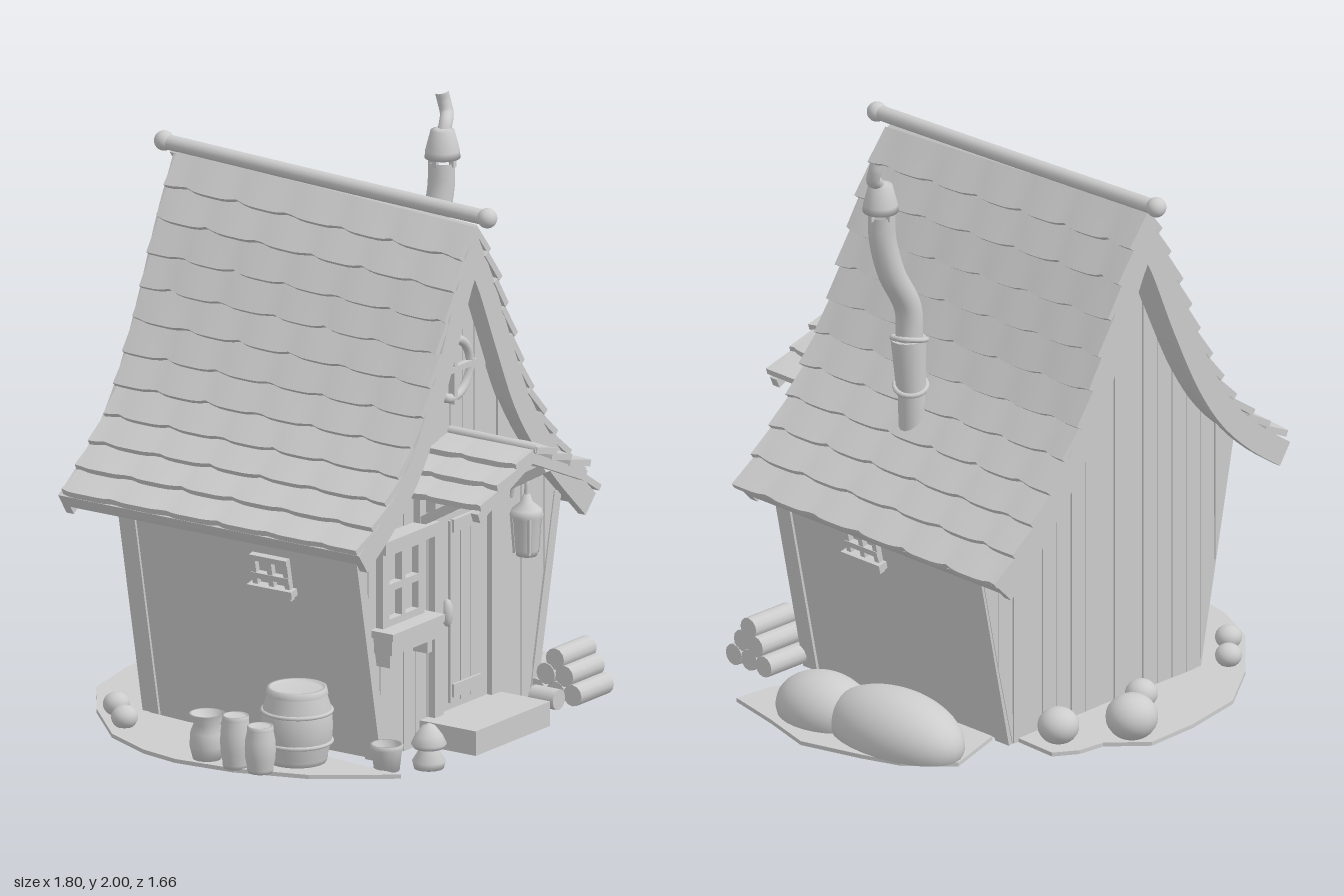
import * as THREE from 'three';

const clay = new THREE.MeshStandardMaterial({ color: 0xcccccc });
clay.name = 'light grey clay';

let seed = 7;
const rnd = () => ((seed = (seed * 16807) % 2147483647) / 2147483647);
const V = (x, y, z = 0) => new THREE.Vector3(x, y, z);

// roof outline from ridge to eave, for the right (+x) and left (-x) slopes
const RIGHT = [[-.08, 1.79], [.02, 1.6], [.12, 1.37], [.23, 1.13], [.34, .97], [.47, .82], [.62, .675]];
const LEFT = [[-.08, 1.79], [-.18, 1.6], [-.28, 1.37], [-.4, 1.13], [-.5, .99], [-.62, .88], [-.75, .79]];
const curveOf = (pts) => new THREE.CatmullRomCurve3(pts.map(p => V(p[0], p[1])));
const slopes = [{ side: 1, curve: curveOf(RIGHT) }, { side: -1, curve: curveOf(LEFT) }];

function roofY(x) {
  const pts = x > -.08 ? RIGHT : LEFT;
  for (let i = 1; i < pts.length; i++) {
    const [a, b] = [pts[i - 1], pts[i]];
    if ((x - a[0]) * (x - b[0]) <= 0) return a[1] + (b[1] - a[1]) * (x - a[0]) / (b[0] - a[0]);
  }
  return .7;
}

// the ridge climbs towards the back while the eaves stay level
function lift(geo) {
  const p = geo.attributes.position;
  for (let i = 0; i < p.count; i++) {
    const k = THREE.MathUtils.clamp((p.getY(i) - .7) / 1.1, 0, 1);
    p.setY(i, p.getY(i) - p.getZ(i) * .05 * k);
  }
  geo.computeVertexNormals();
  return geo;
}

// points of one slope pushed inwards by t
function inner({ side, curve }, t) {
  const out = [];
  for (let i = 1; i <= 24; i++) {
    const p = curve.getPointAt(i / 24), d = curve.getTangentAt(i / 24);
    const q = new THREE.Vector2(p.x + side * d.y * t, p.y - side * d.x * t);
    if ((q.x + .08) * side > .01) out.push(q);
  }
  return out;
}

function bandShape(t) {
  const outer = s => s.curve.getSpacedPoints(24).map(p => new THREE.Vector2(p.x, p.y));
  const [r, l] = slopes;
  return new THREE.Shape([...outer(r).reverse(), ...outer(l).slice(1), ...inner(l, t).reverse(),
    new THREE.Vector2(-.08, 1.79 - t * 2.15), ...inner(r, t)]);
}

const extrude = (shape, z0, z1) =>
  new THREE.ExtrudeGeometry(shape, { depth: z1 - z0, bevelEnabled: false }).translate(0, 0, z0);
const shapeOf = pts => new THREE.Shape(pts.map(p => new THREE.Vector2(p[0], p[1])));

export function createModel() {
  const model = new THREE.Group();
  model.name = 'cottage';

  const add = (name, geo, pos = [0, 0, 0], rot = [0, 0, 0], scale = [1, 1, 1]) => {
    const m = new THREE.Mesh(geo, clay);
    m.name = name;
    m.position.set(...pos); m.rotation.set(...rot); m.scale.set(...scale);
    model.add(m);
    return m;
  };
  // box given by its limits on each axis
  const box = (name, x0, x1, y0, y1, z0, z1) =>
    add(name, new THREE.BoxGeometry(x1 - x0, y1 - y0, z1 - z0), [(x0 + x1) / 2, (y0 + y1) / 2, (z0 + z1) / 2]);
  // square beam from a to b
  const beam = (name, a, b, w, d = w) => {
    const m = add(name, new THREE.BoxGeometry(w, a.distanceTo(b), d), a.clone().add(b).multiplyScalar(.5).toArray());
    m.quaternion.setFromUnitVectors(V(0, 1, 0), b.clone().sub(a).normalize());
  };
  const tube = (name, pts, r) =>
    add(name, new THREE.TubeGeometry(new THREE.CatmullRomCurve3(pts.map(p => V(...p))), 32, r, 14));
  const lathe = (name, pts, pos, scale) =>
    add(name, new THREE.LatheGeometry(pts.map(p => new THREE.Vector2(p[0], p[1])), 24), pos, [0, 0, 0], scale);
  const ball = (name, r, pos, scale) => add(name, new THREE.SphereGeometry(r, 20, 14), pos, [0, 0, 0], scale);

  // walls leaning outwards
  const [r, l] = slopes;
  const wall = [[-.48, 0], [.4, 0], [.54, .66],
    ...inner(r, .03).filter(p => p.x < .51).reverse().map(p => [p.x, p.y]), [-.08, 1.72],
    ...inner(l, .03).filter(p => p.x > -.61).map(p => [p.x, p.y]), [-.638, .79]];
  add('walls', extrude(shapeOf(wall), -.48, .46));
  const foot = x => Math.max(0, (x - .4) / .212, (-.48 - x) / .2);
  for (let i = 0; i < 17; i++) {
    const x0 = i < 8 ? -.62 + i * .0675 : -.08 + (i - 8) * .0678, x1 = x0 + .064;
    const pts = [[x0, foot(x0)], [x1, foot(x1)], [x1, roofY(x1) - .06], [x0, roofY(x0) - .06]];
    add('frontPlank', extrude(shapeOf(pts), .455, .468 + rnd() * .006));
    add('backPlank', extrude(shapeOf(pts), -.488 - rnd() * .006, -.475));
  }
  for (const z of [.445, -.455]) {
    beam('cornerPost', V(.39, 0, z), V(.535, .69, z), .04, .065);
    beam('cornerPost', V(-.47, 0, z), V(-.63, .81, z), .04, .065);
  }

  // roof deck, gable boards and shingle courses
  add('roofDeck', lift(extrude(bandShape(.05), -.63, .555)));
  add('frontGableBoard', lift(extrude(bandShape(.085), .54, .57)));
  add('backGableBoard', lift(extrude(bandShape(.085), -.65, -.62)));
  const course = (name, A, B, side, z0, z1, lifted) => {
    const d = B.clone().sub(A), n = V(-d.y * side, d.x * side).normalize();
    const a = A.clone().addScaledVector(n, .004), b = B.clone().addScaledVector(n, .024).addScaledVector(d, .1);
    const len = a.distanceTo(b), phase = rnd() * 3;
    const g = new THREE.BoxGeometry(len, .022, z1 - z0, 1, 1, 42);
    const p = g.attributes.position;
    for (let i = 0; i < p.count; i++) {
      if (p.getX(i) < 0) continue;
      const w = Math.abs(Math.sin(p.getZ(i) * 15 + phase));
      p.setX(i, p.getX(i) - .014 * (1 - w) ** 2);
      p.setY(i, p.getY(i) + .005 * w * side);
    }
    g.rotateZ(Math.atan2(b.y - a.y, b.x - a.x));
    g.translate((a.x + b.x) / 2, (a.y + b.y) / 2, (z0 + z1) / 2);
    if (lifted) lift(g); else g.computeVertexNormals();
    add(name, g);
  };
  for (const { side, curve } of slopes)
    for (let i = 0; i < 11; i++)
      course('shingleCourse', curve.getPointAt(i / 11), curve.getPointAt((i + 1) / 11), side,
        (side > 0 ? -.665 : -.635) + rnd() * .01, .565 + rnd() * .012, true);
  tube('ridgePole', [[-.08, 1.805, .62], [-.08, 1.825, 0], [-.08, 1.85, -.69]], .026);
  ball('ridgeKnob', .034, [-.08, 1.805, .62]);
  ball('ridgeKnob', .034, [-.08, 1.852, -.69]);

  // porch roof with brackets
  for (const side of [1, -1]) {
    const a = V(-.08, 1.03), b = V(-.08 + side * .31, .89);
    for (let i = 0; i < 3; i++)
      course('porchShingles', a.clone().lerp(b, i / 3), a.clone().lerp(b, (i + 1) / 3), side, .46, .81 + rnd() * .015, false);
    beam('porchRafter', V(-.08, 1.005, .79), V(b.x, b.y - .02, .79), .035, .03);
    const x = side > 0 ? .15 : -.28;
    box('porchBracket', x - .017, x + .017, .74, .93, .465, .5);
    beam('porchBrace', V(x, .78, .49), V(x, .9, .7), .03);
    beam('porchArm', V(x, .915, .47), V(x, .915, .78), .03);
  }
  tube('porchRidge', [[-.08, 1.045, .47], [-.08, 1.043, .65], [-.08, 1.04, .825]], .017);

  // door and step
  box('doorStep', -.26, .17, 0, .085, .46, .7);
  box('doorPostLeft', .12, .18, .085, .8, .46, .5);
  box('doorPostRight', -.21, -.16, .085, .8, .46, .5);
  box('doorLintel', -.23, .2, .8, .85, .46, .515);
  box('doorLeaf', -.16, .12, .085, .8, .46, .48);
  for (let i = 0; i < 3; i++) box('doorPlank', -.108 + i * .06, -.052 + i * .06, .11, .74, .475, .491);
  for (const y of [.13, .7]) box('doorBatten', -.1, .06, y, y + .045, .485, .5);
  ball('doorHandle', .02, [-.132, .43, .495], [1, 2.4, 1]);

  // front window with flower box
  const bars = [[-.51, -.475, .46, .74], [-.305, -.27, .46, .74], [-.4, -.38, .46, .74],
    [-.5, -.28, .585, .61], [-.5, -.28, .46, .49], [-.5, -.28, .71, .74]];
  for (const [x0, x1, y0, y1] of bars) box('windowBar', x0, x1, y0, y1, .46, .5);
  box('windowHood', -.55, -.24, .735, .78, .46, .54);
  box('flowerBox', -.53, -.26, .385, .45, .46, .55);
  box('flowerBoxRim', -.545, -.245, .44, .465, .46, .565);
  for (const x of [-.5, -.285]) box('flowerBoxBracket', x - .013, x + .013, .335, .39, .46, .53);

  // round gable window
  add('roundWindowRim', new THREE.TorusGeometry(.1, .016, 10, 36), [-.08, 1.26, .48]);
  box('roundWindowBar', -.2, .04, 1.25, 1.27, .465, .495);
  box('roundWindowBar', -.09, -.07, 1.14, 1.38, .465, .495);
  add('roundWindowPoint', new THREE.ConeGeometry(.022, .06, 8), [-.08, 1.39, .485]);

  // small side windows, tilted with the walls
  for (const [x, y, z, tilt] of [[.525, .585, .07, -.21], [-.602, .61, .12, .2]]) {
    const g = new THREE.Group();
    g.name = 'sideWindow';
    const part = (geo, py, pz) => { const m = new THREE.Mesh(geo, clay); m.name = 'sideWindowFrame'; m.position.set(0, py, pz); g.add(m); };
    for (const s of [-1, 0, 1]) {
      part(new THREE.BoxGeometry(.04, .14, .02), 0, s * .065);
      part(new THREE.BoxGeometry(.045, .02, .15), s * .065, 0);
    }
    part(new THREE.BoxGeometry(.07, .025, .18), -.045, 0);
    g.position.set(x, y, z); g.rotation.z = tilt;
    model.add(g);
  }

  // hanging lantern
  lathe('lantern', [[0, .535], [.035, .54], [.04, .56], [.048, .67], [.058, .68], [.05, .7], [.02, .725], [.012, .75], [0, .755]], [.27, 0, .535]);
  for (let i = 0; i < 4; i++) {
    const a = i * Math.PI / 2 + .78, c = Math.cos(a), s = Math.sin(a);
    beam('lanternRib', V(.27 + c * .04, .55, .535 + s * .04), V(.27 + c * .05, .68, .535 + s * .05), .01);
  }
  tube('lanternHook', [[.27, .75, .535], [.27, .8, .53], [.27, .79, .49], [.27, .73, .47]], .008);

  // crooked stove pipe
  tube('chimneyPipe', [[.34, .96, .035], [.345, 1.12, .035], [.35, 1.25, .04], [.355, 1.4, .04], [.43, 1.55, .045], [.465, 1.68, .05], [.47, 1.77, .05]], .046);
  const sleeve = add('chimneySleeve', new THREE.CylinderGeometry(.06, .05, .18, 14), [.347, 1.2, .04], [0, 0, -.03]);
  sleeve.rotation.x = .04;
  add('chimneyBand', new THREE.TorusGeometry(.058, .009, 8, 20), [.35, 1.29, .04], [1.75, .25, 0]);
  add('chimneyBand', new THREE.TorusGeometry(.054, .009, 8, 20), [.345, 1.12, .038], [1.35, -.25, 0]);
  for (let i = 0; i < 4; i++)
    box('capPost', .465 + .042 * Math.cos(i * 1.57), .483 + .042 * Math.cos(i * 1.57), 1.76, 1.8,
      .041 + .042 * Math.sin(i * 1.57), .059 + .042 * Math.sin(i * 1.57));
  lathe('chimneyCap', [[0, 1.79], [.06, 1.785], [.058, 1.81], [.04, 1.88], [.022, 1.885], [0, 1.885]], [.475, 0, .05]);
  tube('chimneyTip', [[.478, 1.86, .05], [.5, 1.895, .045], [.535, 1.92, .025], [.54, 1.96, .01], [.535, 1.99, .005]], .023);

  // ground patches
  const patch = (name, pts) => add(name, new THREE.ExtrudeGeometry(shapeOf(pts.map(p => [p[0], -p[1]])),
    { depth: .014, bevelEnabled: false }), [0, 0, 0], [-Math.PI / 2, 0, 0]);
  patch('backPatch', [[.37, -.47], [.38, -.66], [.3, -.71], [.2, -.72], [.08, -.83], [-.12, -.82], [-.36, -.77], [-.57, -.62],
    [-.78, -.41], [-.87, -.22], [-.9, -.07], [-.88, .15], [-.8, .4], [-.62, .65], [-.6, .45], [-.5, -.46]]);
  patch('sidePatch', [[.42, .3], [.65, .4], [.79, .41], [.84, .2], [.9, 0], [.84, -.22], [.79, -.36], [.66, -.5], [.42, -.42]]);

  // bushes and boulders
  const dome = new THREE.SphereGeometry(1, 28, 12, 0, Math.PI * 2, 0, Math.PI * .58).translate(0, .25, 0);
  add('bush', dome, [.67, .012, -.22], [0, 0, 0], [.16, .142, .28]);
  add('bush', dome, [.69, .012, .1], [0, 0, 0], [.14, .122, .18]);
  for (const [x, z, rad] of [[.09, -.745, .088], [.29, -.6, .07], [-.12, -.58, .055], [-.57, -.54, .045], [-.68, -.43, .045]])
    ball('boulder', rad, [x, rad * .88 + .006, z], [1, .9, 1]);

  // barrels, pots and bucket
  const barrel = [[0, 0], [.8, 0], [.86, .08], [.84, .1], [.97, .3], [1, .5], [.97, .7], [.84, .9], [.87, .92], [.83, 1], [.74, 1], [.72, .96], [0, .96]];
  lathe('barrel', barrel, [-.68, .01, .27], [.12, .26, .12]);
  for (const y of [.085, .19]) add('barrelHoop', new THREE.TorusGeometry(.116, .007, 8, 28), [-.68, y, .27], [Math.PI / 2, 0, 0]);
  lathe('smallBarrel', barrel, [-.85, .01, .14], [.052, .18, .052]);
  lathe('smallBarrel', barrel, [-.85, .01, .24], [.052, .16, .052]);
  const pot = [[0, 0], [.75, 0], [.95, .3], [.9, .6], [.72, .78], [1, 1], [.85, 1], [.6, .8], [0, .75]];
  lathe('pot', pot, [-.83, .01, .01], [.062, .16, .062]);
  lathe('bucket', [[0, 0], [.78, 0], [.93, .8], [1, .82], [1, 1], [.85, 1], [.75, .4], [0, .4]], [-.575, .005, .56], [.055, .09, .055]);

  // mushroom
  lathe('mushroomStem', [[0, 0], [.05, 0], [.056, .025], [.035, .06], [.028, .09], [0, .09]], [-.46, 0, .65]);
  lathe('mushroomCap', [[0, .07], [.05, .07], [.06, .085], [.045, .115], [.022, .145], [0, .155]], [-.46, 0, .65]);

  // stacked logs
  for (const [y, z] of [[.04, .49], [.04, .565], [.04, .635], [.1, .53], [.1, .6], [.155, .565]])
    add('log', new THREE.CylinderGeometry(.037, .037, .18 + rnd() * .02, 12), [.485, y, z], [0, 0, Math.PI / 2]);
  add('looseLog', new THREE.CylinderGeometry(.036, .036, .1, 12), [.335, .037, .57], [Math.PI / 2, 0, 0]);

  return model;
}
